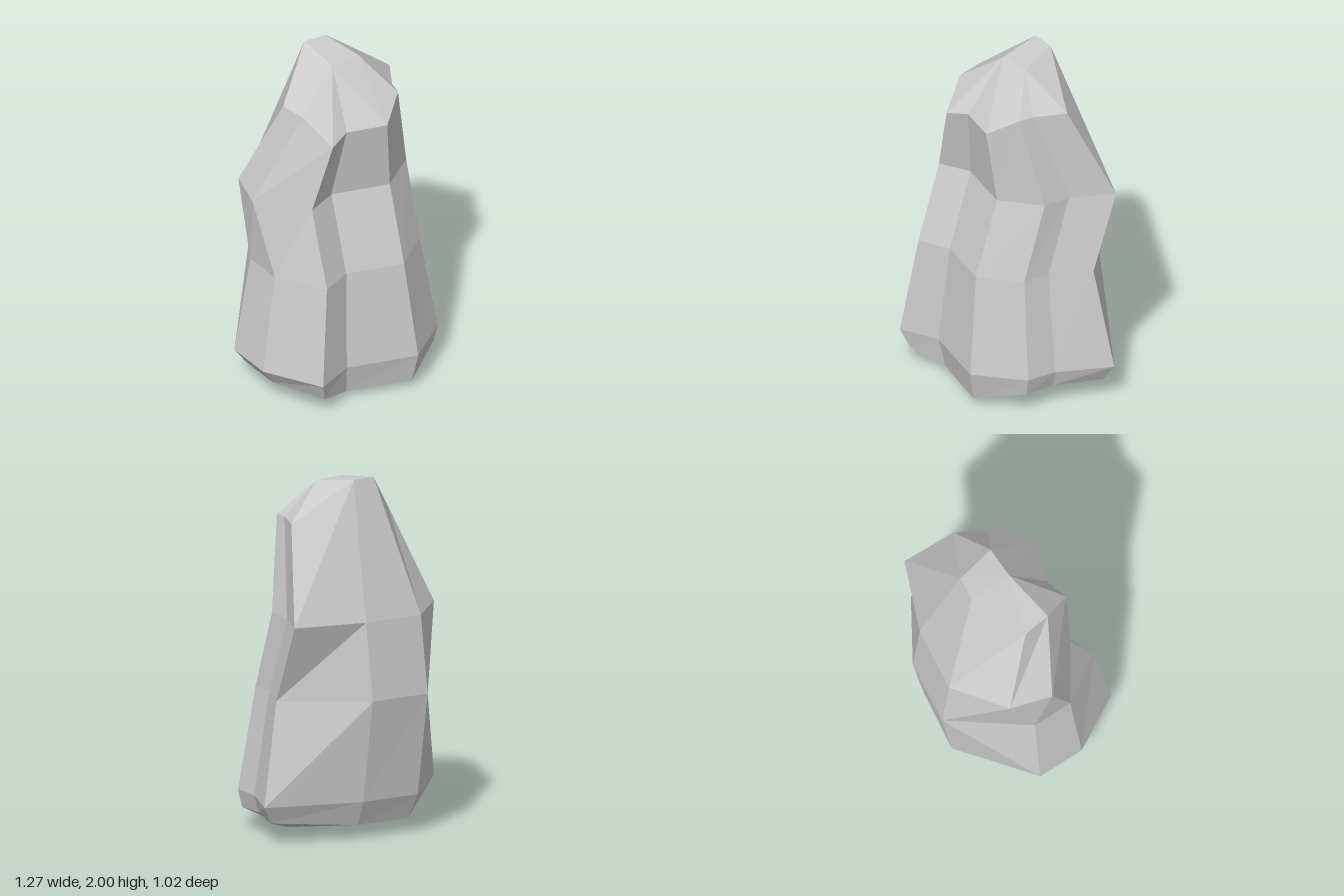
import * as THREE from 'three';

// Each ring runs counterclockwise seen from above: front right, round the front, left, back, right.
const level = (y, pts) => pts.map(([x, z]) => [x, y, z]);

const base = [
  [-0.42, 0.105, 0.43], [-0.22, 0.04, 0.35], [0.14, 0.04, 0.47], [0.40, 0.12, 0.31], [0.43, 0.12, 0.14],
  [0.57, 0.12, -0.11], [0.12, 0.08, -0.33], [-0.21, 0.08, -0.385], [-0.57, 0.12, -0.11], [-0.57, 0.12, 0.14],
];
const foot = level(0.22, [
  [-0.46, 0.47], [-0.24, 0.385], [0.155, 0.51], [0.42, 0.32], [0.455, 0.15],
  [0.635, -0.13], [0.13, -0.385], [-0.23, -0.44], [-0.64, -0.125], [-0.64, 0.15],
]);
const waist = level(0.8, [
  [-0.385, 0.40], [-0.205, 0.33], [0.115, 0.43], [0.335, 0.27], [0.37, 0.12],
  [0.51, -0.09], [0.125, -0.46], [-0.24, -0.51], [-0.55, -0.10], [-0.55, 0.135],
]);
const shoulder = level(1.24, [
  [-0.38, 0.25], [-0.20, 0.18], [0.125, 0.28], [0.345, 0.125], [0.375, -0.03],
  [0.52, -0.25], [0.13, -0.41], [-0.235, -0.46], [-0.525, -0.25], [-0.595, -0.015],
]);
// At the back the brow climbs straight to the peak
const brow = [
  [-0.27, 1.635, 0.295], [-0.145, 1.665, 0.25], [0.08, 1.665, 0.32], [0.23, 1.77, 0.21], [0.25, 1.77, 0.125],
  [0.35, 1.77, -0.04], [0.035, 2, -0.205], [-0.10, 2, -0.22], [-0.37, 1.77, -0.04], [-0.35, 1.77, 0.12],
];

function mesh(name, triangles) {
  const geometry = new THREE.BufferGeometry();
  geometry.setAttribute('position', new THREE.Float32BufferAttribute(triangles.flat(2), 3));
  geometry.computeVertexNormals();
  const result = new THREE.Mesh(geometry, new THREE.MeshStandardMaterial({ color: 0xcccccc, flatShading: true }));
  result.name = name;
  return result;
}

// Facets between two rings; sides listed in flipped use the other diagonal
function band(lower, upper, flipped = []) {
  return lower.flatMap((a, i) => {
    const j = (i + 1) % lower.length;
    const b = lower[j], c = upper[j], d = upper[i];
    return flipped.includes(i) ? [[a, b, d], [b, c, d]] : [[a, b, c], [a, c, d]];
  });
}

export function createModel() {
  const rock = new THREE.Group();
  rock.name = 'rock';

  // Faceted sides
  rock.add(mesh('rockSides', [
    ...band(base, foot),
    ...band(foot, waist, [7]),
    ...band(waist, shoulder),
    ...band(shoulder, brow),
  ]));

  // Sloping crown with a small flat top
  const topR = [-0.09, 1.97, 0.035], topL = [0.09, 1.97, 0.035];
  const crown = [[topR, topL, brow[6]], [topR, brow[6], brow[7]], [topR, brow[2], topL]];
  for (const i of [7, 8, 9, 0, 1]) crown.push([topR, brow[i], brow[(i + 1) % 10]]);
  for (const i of [2, 3, 4, 5]) crown.push([topL, brow[i], brow[i + 1]]);
  rock.add(mesh('rockCrown', crown));

  // Keeled underside, resting on a short ridge
  const keelR = [-0.17, 0, 0.155], keelL = [0.2, 0, 0.155];
  const under = [[keelR, keelL, base[1]], [keelL, keelR, base[6]]];
  for (const i of [6, 7, 8, 9, 0]) under.push([keelR, base[(i + 1) % 10], base[i]]);
  for (const i of [1, 2, 3, 4, 5]) under.push([keelL, base[i + 1], base[i]]);
  rock.add(mesh('rockUnderside', under));

  return rock;
}
